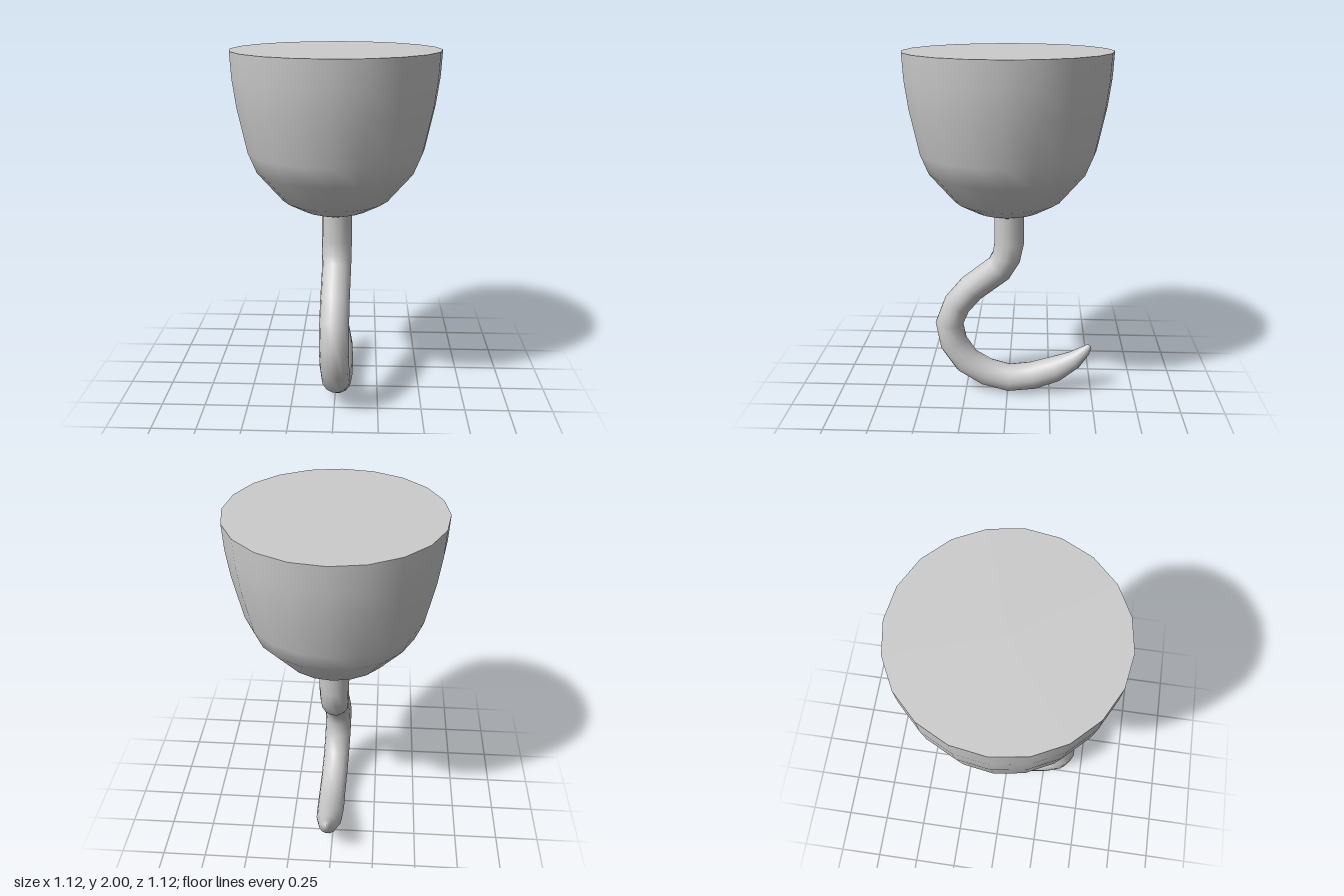
import * as THREE from 'three';

const material = new THREE.MeshStandardMaterial({ color: 0xcccccc });

// Sweeps round rings [x, y, z, radius] along a path lying close to the yz plane.
function taperedTube(rings, sides) {
  const centres = rings.map(([x, y, z]) => new THREE.Vector3(x, y, z));
  const u = new THREE.Vector3(1, 0, 0);
  const positions = [], index = [];
  rings.forEach((ring, i) => {
    const before = centres[Math.max(i - 1, 0)];
    const after = centres[Math.min(i + 1, rings.length - 1)];
    const tangent = after.clone().sub(before).setX(0).normalize();
    const v = tangent.cross(u);
    for (let j = 0; j < sides; j++) {
      const a = (j / sides) * Math.PI * 2;
      const p = centres[i].clone()
        .addScaledVector(u, ring[3] * Math.cos(a))
        .addScaledVector(v, ring[3] * Math.sin(a));
      positions.push(p.x, p.y, p.z);
      if (i < rings.length - 1) {
        const k = i * sides + j, n = i * sides + (j + 1) % sides;
        index.push(k, n, k + sides, n, n + sides, k + sides);
      }
    }
  });
  const geometry = new THREE.BufferGeometry();
  geometry.setAttribute('position', new THREE.Float32BufferAttribute(positions, 3));
  geometry.setIndex(index);
  geometry.computeVertexNormals();
  return geometry;
}

export function createModel() {
  const group = new THREE.Group();
  const add = (name, geometry) => {
    const mesh = new THREE.Mesh(geometry, material);
    mesh.name = name;
    group.add(mesh);
    return mesh;
  };

  // Rounded cup with a flat closed top
  const profile = [
    [0, 1.1], [0.085, 1.1], [0.19, 1.135], [0.3, 1.195], [0.44, 1.36],
    [0.485, 1.47], [0.535, 1.71], [0.555, 1.86], [0.562, 2],
  ].map(([r, y]) => new THREE.Vector2(r, y));
  add('cup', new THREE.LatheGeometry(profile, 20));
  add('cupTop', new THREE.CircleGeometry(0.562, 20).rotateX(-Math.PI / 2)).position.y = 2;

  // Curved hook, from the shank inside the cup to the tapered point
  add('hook', taperedTube([
    [0.007, 1.14, -0.01, 0.085],
    [0.007, 0.94, -0.01, 0.085],
    [0.007, 0.85, 0.008, 0.084],
    [0.006, 0.777, 0.05, 0.083],
    [0.003, 0.65, 0.212, 0.082],
    [0.002, 0.549, 0.297, 0.082],
    [0.002, 0.43, 0.345, 0.082],
    [0.005, 0.302, 0.321, 0.082],
    [0.01, 0.188, 0.244, 0.082],
    [0.015, 0.117, 0.125, 0.082],
    [0.02, 0.083, -0.008, 0.082],
    [0.02, 0.1, -0.151, 0.082],
    [0.02, 0.146, -0.284, 0.077],
    [0.02, 0.207, -0.393, 0.055],
    [0.02, 0.268, -0.459, 0.032],
    [0.02, 0.298, -0.482, 0.017],
    [0.02, 0.306, -0.488, 0.001],
  ], 14));

  return group;
}
